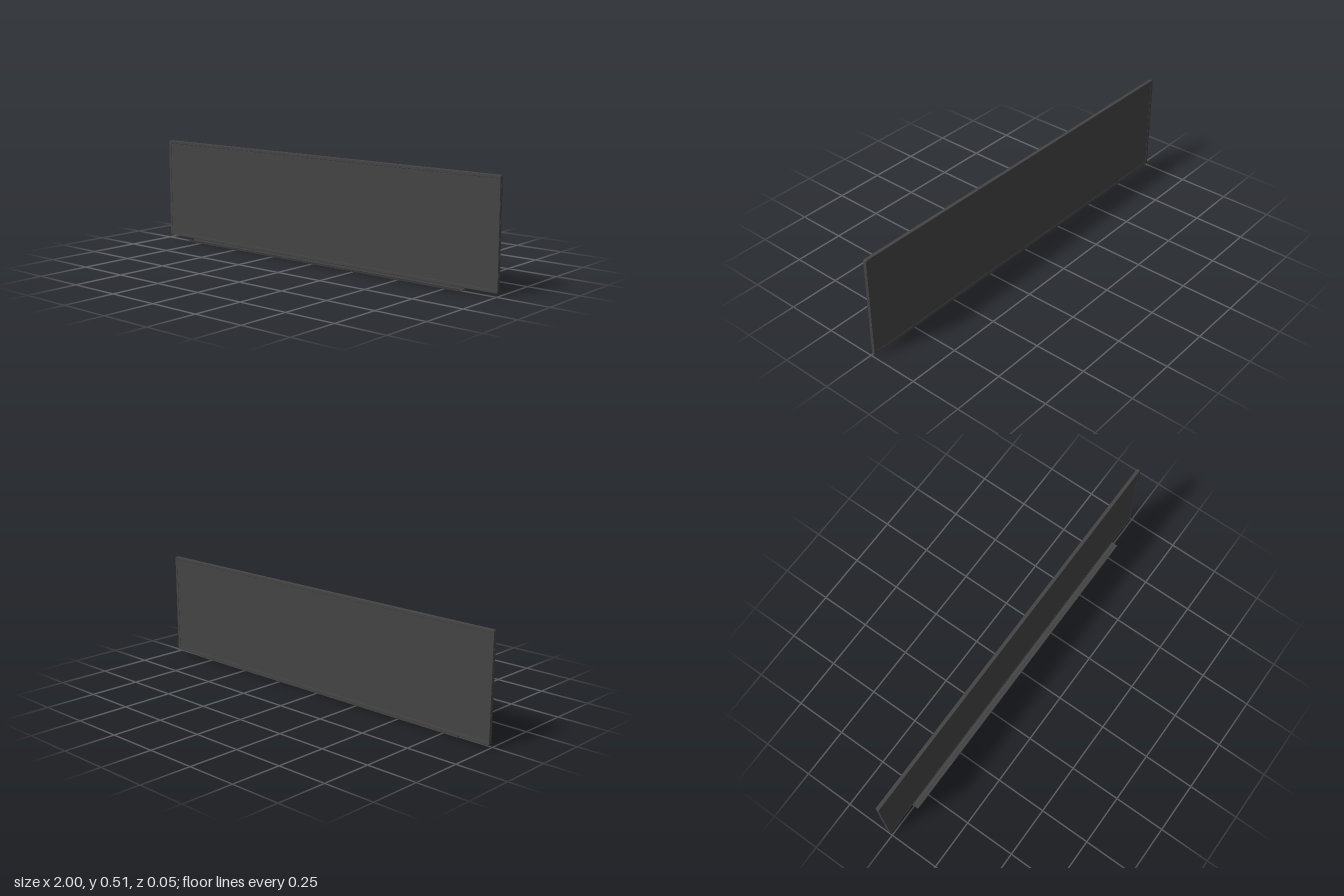
import * as THREE from 'three';

const material = new THREE.MeshStandardMaterial({ color: 0x444444 });

function add(parent, name, geometry, x = 0, y = 0, z = 0) {
  const mesh = new THREE.Mesh(geometry, material);
  mesh.name = name;
  mesh.position.set(x, y, z);
  parent.add(mesh);
  return mesh;
}

// Rounded rectangle centred on the origin
function roundedRect(target, w, h, r) {
  const x = w / 2, y = h / 2;
  target.moveTo(-x + r, -y);
  target.lineTo(x - r, -y);
  target.absarc(x - r, -y + r, r, -Math.PI / 2, 0);
  target.lineTo(x, y - r);
  target.absarc(x - r, y - r, r, 0, Math.PI / 2);
  target.lineTo(-x + r, y);
  target.absarc(-x + r, y - r, r, Math.PI / 2, Math.PI);
  target.lineTo(-x, -y + r);
  target.absarc(-x + r, -y + r, r, Math.PI, Math.PI * 1.5);
  return target;
}

export function createModel() {
  const group = new THREE.Group();
  const width = 1.999, height = 0.498, depth = 0.017;
  const centreY = 0.261, centreZ = -0.0155, bevel = 0.0015;

  // Frame with rounded corners and softened edges
  const outline = roundedRect(new THREE.Shape(), width - 2 * bevel, height - 2 * bevel, 0.007);
  outline.holes.push(roundedRect(new THREE.Path(), width - 0.026, height - 0.026, 0.002));
  const frame = new THREE.ExtrudeGeometry(outline, {
    depth: depth - 2 * bevel, bevelThickness: bevel, bevelSize: bevel, bevelSegments: 2, curveSegments: 6,
  });
  frame.translate(0, 0, bevel - depth / 2);
  add(group, 'frame', frame, 0, centreY, centreZ);

  // Writing panel, slightly recessed on both faces
  add(group, 'panel', new THREE.BoxGeometry(width - 0.02, height - 0.02, depth - 0.003), 0, centreY, centreZ);

  // Narrow rounded strips on the frame's ends
  for (const side of [-1, 1]) {
    const strip = new THREE.ExtrudeGeometry(roundedRect(new THREE.Shape(), 0.006, 0.425, 0.0029), {
      depth: 0.001, bevelEnabled: false, curveSegments: 4,
    });
    strip.translate(0, 0, -0.0005).rotateY(Math.PI / 2);
    add(group, side > 0 ? 'leftEndStrip' : 'rightEndStrip', strip, side * 0.9995, 0.262, centreZ);
  }

  // Pen tray: bent sheet with a hanging flange and upturned lip, drawn in z and y
  const trayLength = 1.664;
  const profile = new THREE.Shape([
    [-0.017, 0.014], [-0.017, 0.0025], [-0.0155, 0.0015], [0.008, 0.0015], [0.009, 0],
    [0.0195, 0], [0.0215, 0.0015], [0.0225, 0.006], [0.0245, 0.0125], [0.0225, 0.0125],
    [0.0205, 0.006], [0.0195, 0.0035], [0.018, 0.003], [0.009, 0.003], [0.008, 0.0045],
    [-0.014, 0.0045], [-0.014, 0.014],
  ].map(([z, y]) => new THREE.Vector2(z, y)));
  const tray = new THREE.ExtrudeGeometry(profile, { depth: trayLength, bevelEnabled: false });
  tray.translate(0, 0, -trayLength / 2).rotateY(-Math.PI / 2);
  add(group, 'penTray', tray);

  return group;
}
